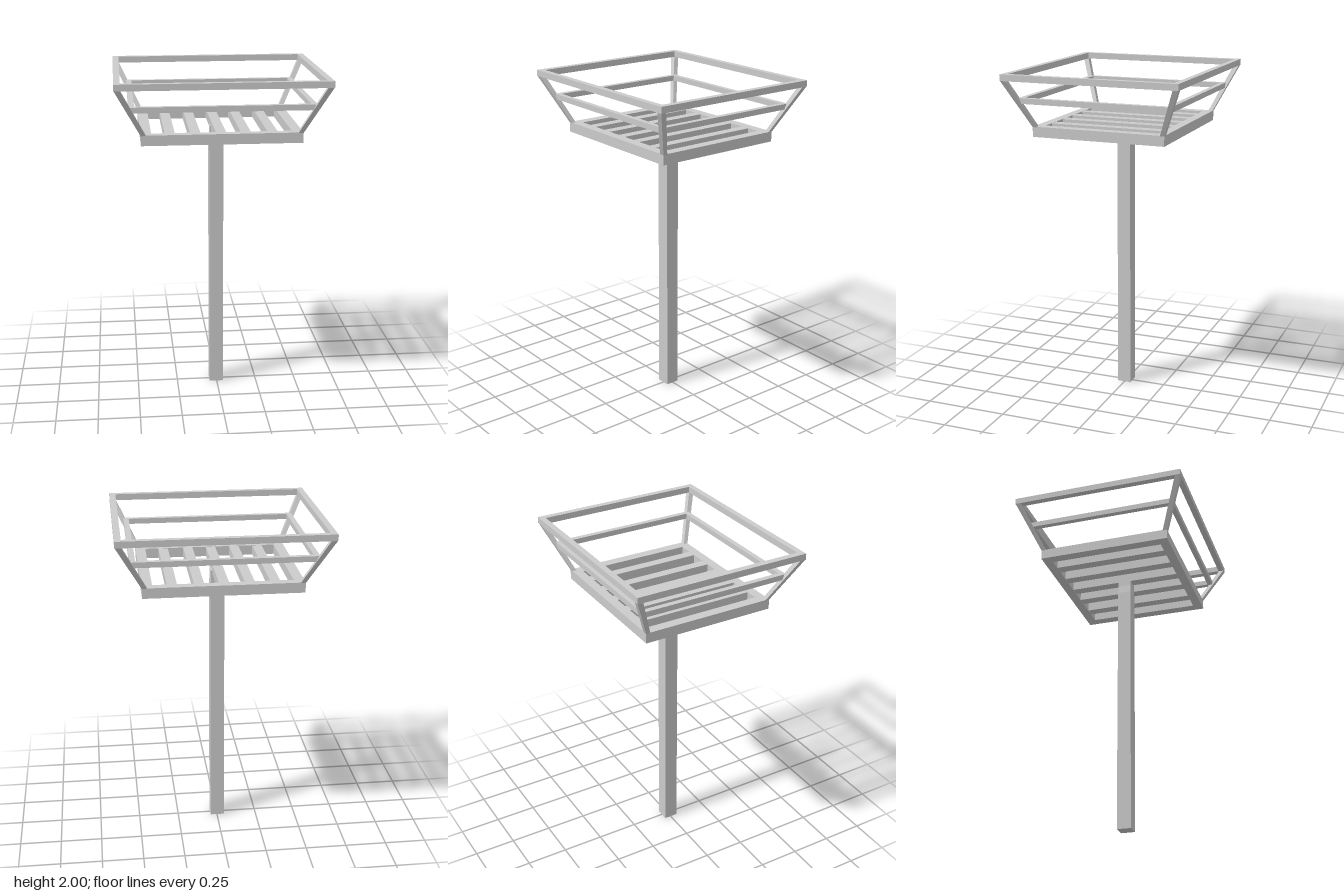
import * as THREE from 'three';

const material = new THREE.MeshStandardMaterial({ color: 0xcccccc, flatShading: true });

// Box given by its extents
function bar(name, x0, x1, y0, y1, z0, z1) {
  const mesh = new THREE.Mesh(new THREE.BoxGeometry(x1 - x0, y1 - y0, z1 - z0), material);
  mesh.position.set((x0 + x1) / 2, (y0 + y1) / 2, (z0 + z1) / 2);
  mesh.name = name;
  return mesh;
}

// Four-sided solid through rectangular sections [y, x0, x1, z0, z1], bottom to top
function loft(name, sections) {
  const pos = [];
  const index = [];
  for (const [y, x0, x1, z0, z1] of sections) {
    pos.push(x0, y, z1, x1, y, z1, x1, y, z0, x0, y, z0);
  }
  for (let s = 0; s < sections.length - 1; s++) {
    for (let i = 0; i < 4; i++) {
      const a = s * 4 + i;
      const b = s * 4 + ((i + 1) % 4);
      index.push(a, b, b + 4, a, b + 4, a + 4);
    }
  }
  const t = (sections.length - 1) * 4;
  index.push(0, 2, 1, 0, 3, 2, t, t + 1, t + 2, t, t + 2, t + 3);
  let geometry = new THREE.BufferGeometry();
  geometry.setAttribute('position', new THREE.Float32BufferAttribute(pos, 3));
  geometry.setIndex(index);
  geometry = geometry.toNonIndexed();
  geometry.computeVertexNormals();
  const mesh = new THREE.Mesh(geometry, material);
  mesh.name = name;
  return mesh;
}

// Rectangular ring of four rails: outer half sizes x, z and rail widths wx, wz
function ring(name, x, z, wx, wz, y0, y1) {
  const group = new THREE.Group();
  group.name = name;
  group.add(
    bar('frontRail', -x, x, y0, y1, z - wz, z),
    bar('backRail', -x, x, y0, y1, -z, -z + wz),
    bar('leftRail', x - wx, x, y0, y1, -z + wz, z - wz),
    bar('rightRail', -x, -x + wx, y0, y1, -z + wz, z - wz)
  );
  return group;
}

export function createModel() {
  const model = new THREE.Group();
  model.name = 'basketOnPost';

  // Square post, slightly narrower at its head
  model.add(loft('post', [
    [0, -0.045, 0.04, -0.04, 0.045],
    [1.55, -0.045, 0.04, -0.036, 0.045],
    [1.6, -0.039, 0.036, -0.035, 0.043],
    [1.66, -0.039, 0.036, -0.035, 0.043],
  ]));

  // Basket floor: heavy frame with slats
  model.add(ring('floorFrame', 0.46, 0.4, 0.06, 0.055, 1.63, 1.69));
  for (const x of [-0.295, -0.15, -0.004, 0.137, 0.29]) {
    model.add(bar('slat', x - 0.029, x + 0.029, 1.632, 1.689, -0.345, 0.345));
  }

  // Middle rails and rim
  model.add(ring('middleRails', 0.525, 0.458, 0.032, 0.03, 1.828, 1.86));
  model.add(ring('rim', 0.605, 0.527, 0.037, 0.035, 1.963, 2));

  // Splayed corner struts
  for (const sx of [-1, 1]) {
    for (const sz of [-1, 1]) {
      const section = (y, xi, xo, zi, zo) => [
        y,
        Math.min(sx * xi, sx * xo), Math.max(sx * xi, sx * xo),
        Math.min(sz * zi, sz * zo), Math.max(sz * zi, sz * zo),
      ];
      model.add(loft('cornerStrut', [
        section(1.685, 0.43, 0.459, 0.373, 0.399),
        section(1.965, 0.57, 0.604, 0.494, 0.526),
      ]));
    }
  }

  return model;
}
